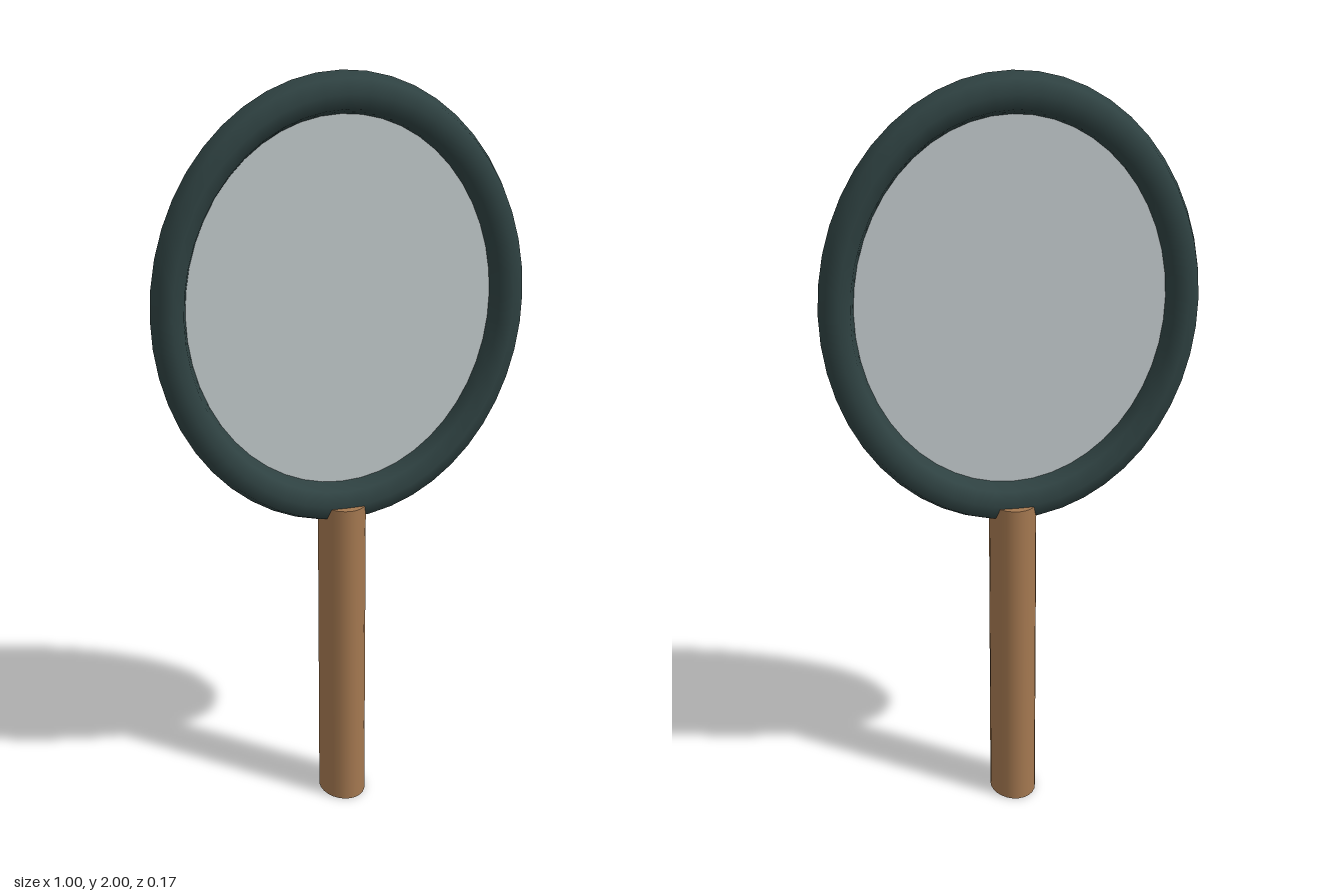
import * as THREE from 'three';

const mat = (name, color, side = THREE.FrontSide) => {
  const m = new THREE.MeshStandardMaterial({ color, side });
  m.name = name;
  return m;
};

export function createModel() {
  const group = new THREE.Group();
  group.name = 'racket';
  const add = (name, geometry, material, y) => {
    const mesh = new THREE.Mesh(geometry, material);
    mesh.name = name;
    mesh.position.y = y;
    group.add(mesh);
  };

  const headY = 1.41;    // centre of the oval head
  const stretch = 1.18;  // head height relative to its width
  const ringRadius = 0.455;

  // Oval rim, an eight-sided tube slightly deeper than wide
  add('rim', new THREE.TorusGeometry(ringRadius, 0.045, 8, 48).scale(1, stretch, 1.31),
    mat('dark green', 0x2f4242), headY);

  // Flat sheet filling the rim, seen from both sides
  add('face', new THREE.CircleGeometry(ringRadius, 48).scale(1, stretch, 1),
    mat('pale grey', 0xc0c8ca, THREE.DoubleSide), headY);

  // Oval handle, deeper than wide
  const handleHeight = 0.87;
  add('handle', new THREE.CylinderGeometry(1, 1, handleHeight, 24).scale(0.0625, 1, 0.083),
    mat('brown', 0xa47850), handleHeight / 2);

  return group;
}
